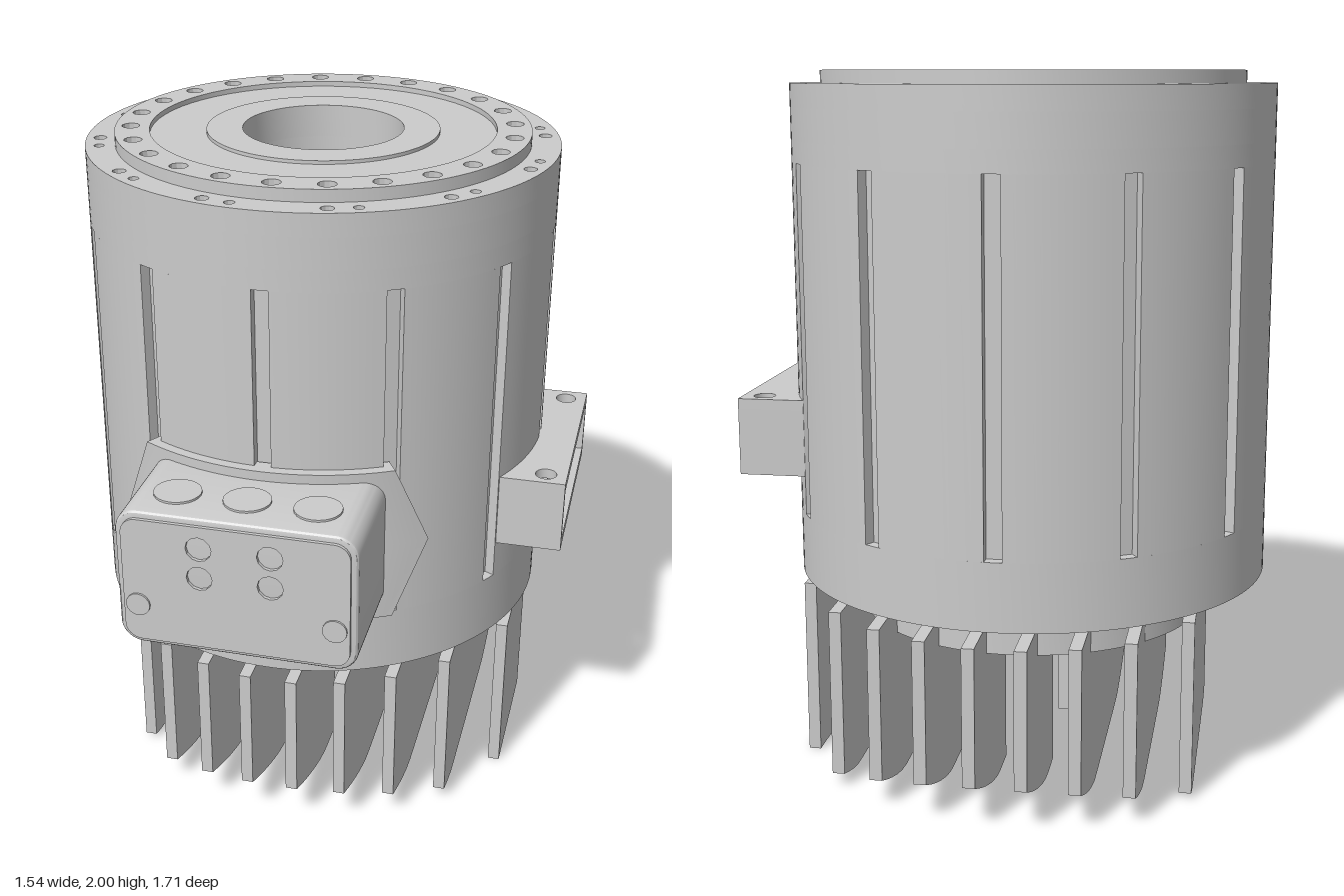
import * as THREE from 'three';
import { toCreasedNormals } from 'three/addons/utils/BufferGeometryUtils.js';

const material = new THREE.MeshStandardMaterial({ color: 0xcccccc });
const R = 0.685;              // housing radius
const BORE = 0.131;           // through bore radius
const TAU = Math.PI * 2;

function add(parent, geometry, name) {
  const mesh = new THREE.Mesh(toCreasedNormals(geometry, 0.5), material);
  mesh.name = name;
  parent.add(mesh);
}

const circle = (x, y, r) => new THREE.Path().absarc(x, y, r, 0, TAU, true);

function extrude(shape, depth, curveSegments = 6, bevel = 0) {
  return new THREE.ExtrudeGeometry(shape, {
    depth, curveSegments, bevelEnabled: bevel > 0,
    bevelSize: bevel, bevelThickness: bevel, bevelSegments: 3,
  });
}

// Flat ring between two heights, with optional holes and rim notches
function ring(rOut, rIn, y0, y1, { holes = [], notches = 0 } = {}) {
  const pts = [];
  const at = (a, r) => pts.push(new THREE.Vector2(r * Math.cos(a), r * Math.sin(a)));
  if (notches) {
    const half = 0.035, depth = 0.03, step = TAU / notches;
    for (let i = 0; i < notches; i++) {
      const a0 = i * step;
      at(a0 - half, rOut - depth);
      at(a0 + half, rOut - depth);
      for (let k = 0; k <= 10; k++) at(a0 + half + (step - 2 * half) * k / 10, rOut);
    }
  } else {
    for (let i = 0; i < 144; i++) at((i / 144) * TAU, rOut);
  }
  const shape = new THREE.Shape(pts);
  const inner = [];
  for (let i = 0; i < 64; i++) {
    const a = -(i / 64) * TAU;
    inner.push(new THREE.Vector2(rIn * Math.cos(a), rIn * Math.sin(a)));
  }
  shape.holes.push(new THREE.Path(inner));
  for (const [x, y, r] of holes) shape.holes.push(circle(x, y, r));
  return extrude(shape, y1 - y0).rotateX(-Math.PI / 2).translate(0, y0, 0);
}

function boltCircle(count, radius, holeRadius, offset = 0) {
  return Array.from({ length: count }, (_, i) => {
    const a = (i / count) * TAU + offset;
    return [radius * Math.cos(a), radius * Math.sin(a), holeRadius];
  });
}

function roundedRect(w, h, r) {
  const x = w / 2, y = h / 2;
  const s = new THREE.Shape();
  s.absarc(x - r, y - r, r, 0, Math.PI / 2);
  s.absarc(-x + r, y - r, r, Math.PI / 2, Math.PI);
  s.absarc(-x + r, -y + r, r, Math.PI, Math.PI * 1.5);
  s.absarc(x - r, -y + r, r, Math.PI * 1.5, TAU);
  return s;
}

function buildHousing() {
  const g = new THREE.Group();
  g.name = 'housing';
  add(g, ring(R, BORE, 0.57, 0.76), 'lowerHousing');
  add(g, ring(R, BORE, 0.76, 1.75, { notches: 12 }), 'groovedHousing');
  add(g, ring(R, BORE, 1.75, 1.81), 'boreFloor');
  add(g, ring(R, 0.233, 1.81, 1.9), 'upperHousing');
  // Outer rim, bolted flange, recessed face and hub ring
  const rimHoles = [...boltCircle(12, 0.645, 0.019, 0.26), ...boltCircle(12, 0.645, 0.015, 0.385)];
  add(g, ring(R, 0.59, 1.9, 1.965, { holes: rimHoles }), 'outerRim');
  add(g, ring(0.6, 0.5, 1.9, 2.0, { holes: boltCircle(24, 0.555, 0.026) }), 'boltFlange');
  add(g, ring(0.505, 0.33, 1.9, 1.985), 'recessedFace');
  add(g, ring(0.337, 0.233, 1.9, 1.995), 'hubRing');
  return g;
}

function buildFins() {
  const g = new THREE.Group();
  g.name = 'coolingFins';
  const thick = 0.035, top = 0.52;
  // Underside rises towards both ends of each fin
  const under = t => 0.13 * Math.pow(Math.max(0, (t - 0.3) / 0.385), 1.4);
  for (let i = 0; i < 9; i++) {
    const s = -0.49 + 0.14 * i;
    const outer = Math.abs(s) + thick / 2;
    // The first fin is cut short of the round outline
    const end = i === 0 ? 0.39 : Math.sqrt(R * R - outer * outer);
    const start = Math.sqrt(Math.max(0, 0.2 * 0.2 - s * s));
    for (const side of [-1, 1]) {
      const pts = [[start, top]];
      for (let k = 0; k <= 10; k++) {
        const t = start + (end - start) * k / 10;
        pts.push([t, under(t)]);
      }
      pts.push([end, top]);
      const shape = new THREE.Shape(pts.map(([t, y]) => new THREE.Vector2(side * t, y)));
      add(g, extrude(shape, thick).rotateY(-Math.PI / 2).translate(s + thick / 2, 0, 0), 'fin');
    }
  }
  add(g, ring(0.5, 0.15, 0.44, 0.515), 'finPlate');
  return g;
}

function buildTerminalBox() {
  const g = new THREE.Group();
  g.name = 'terminalBox';
  // Hexagonal pad wrapped around the housing
  const pad = new THREE.BoxGeometry(1, 1, 1, 32, 2, 1);
  const p = pad.attributes.position;
  for (let i = 0; i < p.count; i++) {
    const u = p.getX(i), v = p.getY(i), w = p.getZ(i);
    const a = THREE.MathUtils.degToRad(2 * u * (30 + 8.5 * (1 - Math.abs(2 * v))));
    const r = w > 0 ? 0.715 : 0.66;
    p.setXYZ(i, r * Math.sin(a), 1 + v * 0.47, r * Math.cos(a));
  }
  add(g, pad, 'mountingPad');
  add(g, extrude(roundedRect(0.644, 0.39, 0.05), 0.471, 6, 0.012).translate(0, 1, 0.475), 'boxBody');
  // Front plate with four sockets and two screw heads
  const plate = roundedRect(0.63, 0.375, 0.045);
  for (const x of [-0.098, 0.098]) {
    for (const y of [0.03, 0.12]) plate.holes.push(circle(x, y, 0.036));
  }
  add(g, extrude(plate, 0.012).translate(0, 1, 0.956), 'frontPlate');
  for (const x of [-0.274, 0.274]) {
    add(g, new THREE.CylinderGeometry(0.034, 0.034, 0.012, 16).rotateX(Math.PI / 2)
      .translate(x, 0.925, 0.968), 'plateScrew');
  }
  // Three cable entries on top
  for (const x of [-0.195, 0, 0.195]) {
    add(g, new THREE.CylinderGeometry(0.066, 0.066, 0.02, 24).translate(x, 1.203, 0.833), 'cableEntry');
  }
  return g;
}

function buildBracket() {
  const g = new THREE.Group();
  g.name = 'sideBracket';
  // Top and bottom plates with vertical pin holes
  const plate = new THREE.Shape([[0.6, -0.318], [0.797, -0.318], [0.797, 0.318], [0.6, 0.318]]
    .map(([x, y]) => new THREE.Vector2(x, y)));
  for (const y of [-0.265, 0.265]) plate.holes.push(circle(0.735, y, 0.031));
  for (const y of [0.87, 1.06]) {
    add(g, extrude(plate, 0.03, 12).rotateX(-Math.PI / 2).translate(0, y, 0), 'bracketPlate');
  }
  add(g, new THREE.BoxGeometry(0.1, 0.16, 0.636).translate(0.65, 0.98, 0), 'bracketBack');
  for (const z of [-0.309, 0.309]) {
    add(g, new THREE.BoxGeometry(0.107, 0.16, 0.018).translate(0.7435, 0.98, z), 'bracketEnd');
  }
  // Centre boss and fixing screws
  add(g, new THREE.BoxGeometry(0.08, 0.16, 0.18).translate(0.73, 0.98, 0), 'bracketBoss');
  for (const z of [-0.155, 0.155]) {
    add(g, new THREE.CylinderGeometry(0.035, 0.035, 0.04, 16).rotateZ(Math.PI / 2)
      .translate(0.71, 0.98, z), 'bracketScrew');
  }
  return g;
}

export function createModel() {
  const model = new THREE.Group();
  model.name = 'motor';
  // All parts share an axis that is offset and turned by 15 degrees
  const unit = new THREE.Group();
  unit.name = 'motorUnit';
  unit.position.set(-0.085, 0, -0.165);
  unit.rotation.y = THREE.MathUtils.degToRad(15);
  unit.add(buildHousing(), buildFins(), buildTerminalBox(), buildBracket());
  model.add(unit);
  return model;
}
